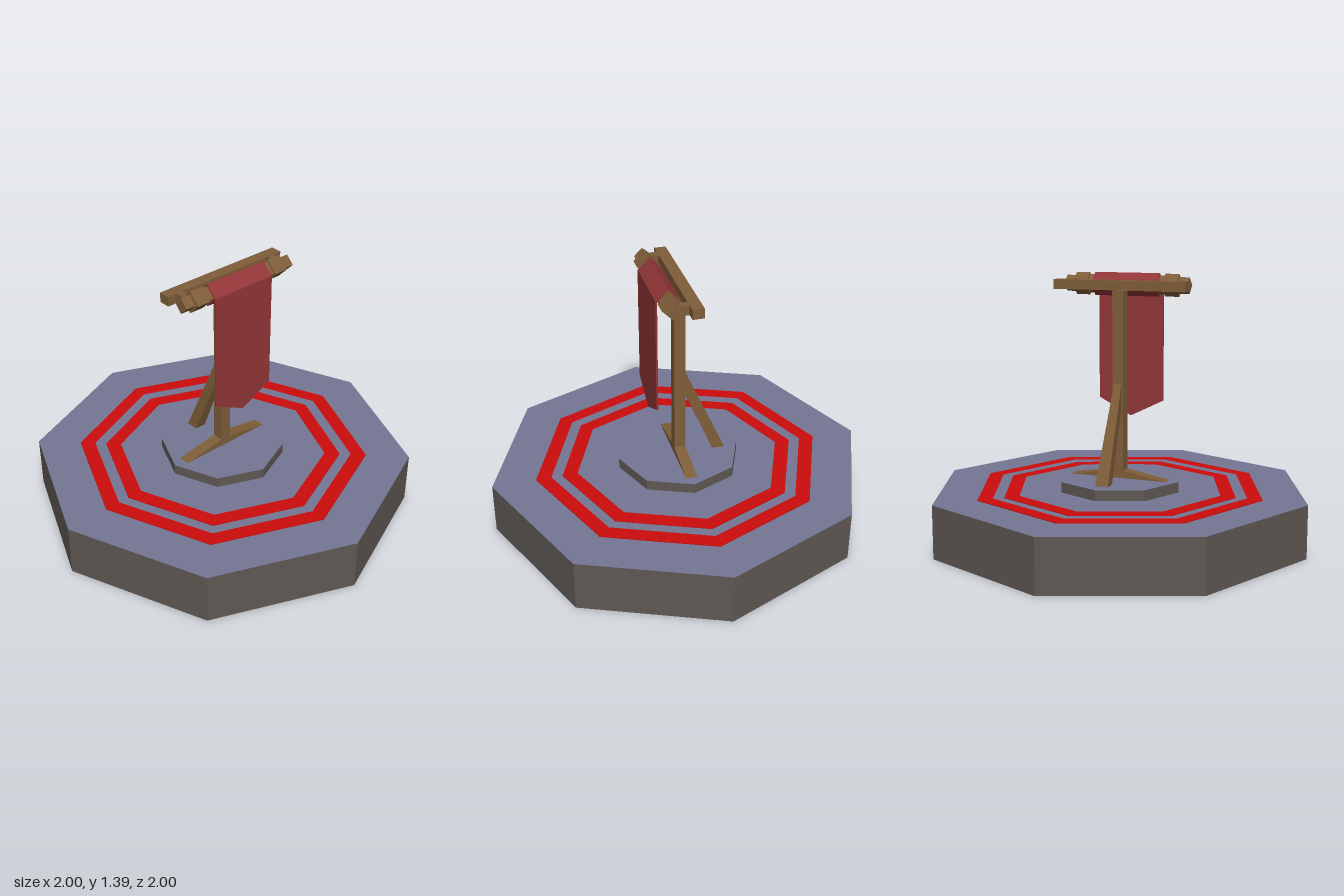
import * as THREE from 'three';

const material = (name, color) => {
  const m = new THREE.MeshStandardMaterial({ color });
  m.name = name;
  return m;
};

// Unshared vertices give every facet its own flat normal
function faceted(geometry) {
  const g = geometry.index ? geometry.toNonIndexed() : geometry;
  g.computeVertexNormals();
  return g;
}

function octagon(radius, Type = THREE.Shape) {
  const points = [];
  for (let i = 0; i < 8; i++) {
    const a = (i * Math.PI) / 4;
    points.push(new THREE.Vector2(radius * Math.sin(a), radius * Math.cos(a)));
  }
  return new Type(points);
}

const polygon = (points) => new THREE.Shape(points.map((p) => new THREE.Vector2(...p)));

export function createModel() {
  const wood = material('wood', 0x7f5e39);
  const cloth = material('banner cloth', 0x923638);
  const paint = material('red paint', 0xcc0c0c);
  const stone = material('dark stone', 0x5e5853);
  const paving = material('blue grey paving', 0x747694);

  const model = new THREE.Group();
  model.name = 'bannerPlatform';

  const add = (name, geometry, mat, x = 0, y = 0, z = 0) => {
    const mesh = new THREE.Mesh(geometry, mat);
    mesh.name = name;
    mesh.position.set(x, y, z);
    model.add(mesh);
    return mesh;
  };
  const box = (name, w, h, d, x, y, z) =>
    add(name, new THREE.BoxGeometry(w, h, d), wood, x, y, z);

  // Octagonal slabs: stone sides and underside, paved top
  const slab = (name, radius, y0, y1) => {
    const g = faceted(new THREE.CylinderGeometry(radius, radius, y1 - y0, 8));
    add(name, g, [stone, paving, stone], 0, (y0 + y1) / 2);
  };
  slab('platform', 1, 0, 0.275);
  slab('centreStep', 0.325, 0.275, 0.33);

  // Two painted octagonal rings
  for (const [name, outer, inner] of [['outerRing', 0.77, 0.69], ['innerRing', 0.63, 0.55]]) {
    const shape = octagon(outer);
    shape.holes.push(octagon(inner, THREE.Path));
    const g = new THREE.ExtrudeGeometry(shape, { depth: 0.004, bevelEnabled: false });
    g.rotateX(-Math.PI / 2);
    add(name, g, paint, 0, 0.275);
  }

  // Post and crossbar
  box('post', 0.06, 0.97, 0.06, 0, 0.815, 0);
  box('crossbar', 0.72, 0.05, 0.06, 0, 1.328, 0);

  // Low wedge feet spreading to both sides
  const feet = polygon([[-0.265, 0.33], [0.265, 0.33], [0.03, 0.37], [-0.03, 0.37]]);
  add('feet', new THREE.ExtrudeGeometry(feet, { depth: 0.06, bevelEnabled: false }), wood, 0, 0, -0.03);

  // Rear brace, widening toward the ground
  const profile = polygon([[0.03, 0.825], [0.03, 0.69], [0.18, 0.33], [0.245, 0.33]]);
  const brace = new THREE.ExtrudeGeometry(profile, { depth: 1, bevelEnabled: false });
  brace.translate(0, 0, -0.5);
  brace.rotateY(Math.PI / 2);
  const p = brace.attributes.position;
  for (let i = 0; i < p.count; i++) {
    const t = (-p.getZ(i) - 0.03) / 0.215;
    p.setX(i, p.getX(i) * (0.04 + 0.03 * t));
  }
  add('rearBrace', faceted(brace), wood);

  // Four-sided banner rod with collars, set on edge
  const rod = (name, radius, length, x, mat = wood) => {
    const g = faceted(new THREE.CylinderGeometry(radius, radius, length, 4));
    g.rotateZ(Math.PI / 2);
    add(name, g, mat, x, 1.328, 0.1);
  };
  rod('rod', 0.042, 0.68, 0);
  for (const [side, s] of [['left', 1], ['right', -1]]) {
    rod(side + 'Collar', 0.058, 0.077, s * 0.247);
    rod(side + 'InnerSleeve', 0.048, 0.04, s * 0.193);
    box(side + 'Bracket', 0.04, 0.05, 0.07, s * 0.29, 1.328, 0.062);
  }

  // Cloth wrapped over the rod and hanging to a point
  rod('bannerWrap', 0.06, 0.36, 0, cloth);
  const banner = polygon([[-0.18, 1.33], [-0.18, 0.72], [0, 0.63], [0.18, 0.72], [0.18, 1.33]]);
  add('banner', new THREE.ExtrudeGeometry(banner, { depth: 0.009, bevelEnabled: false }), cloth, 0, 0, 0.153);

  return model;
}
